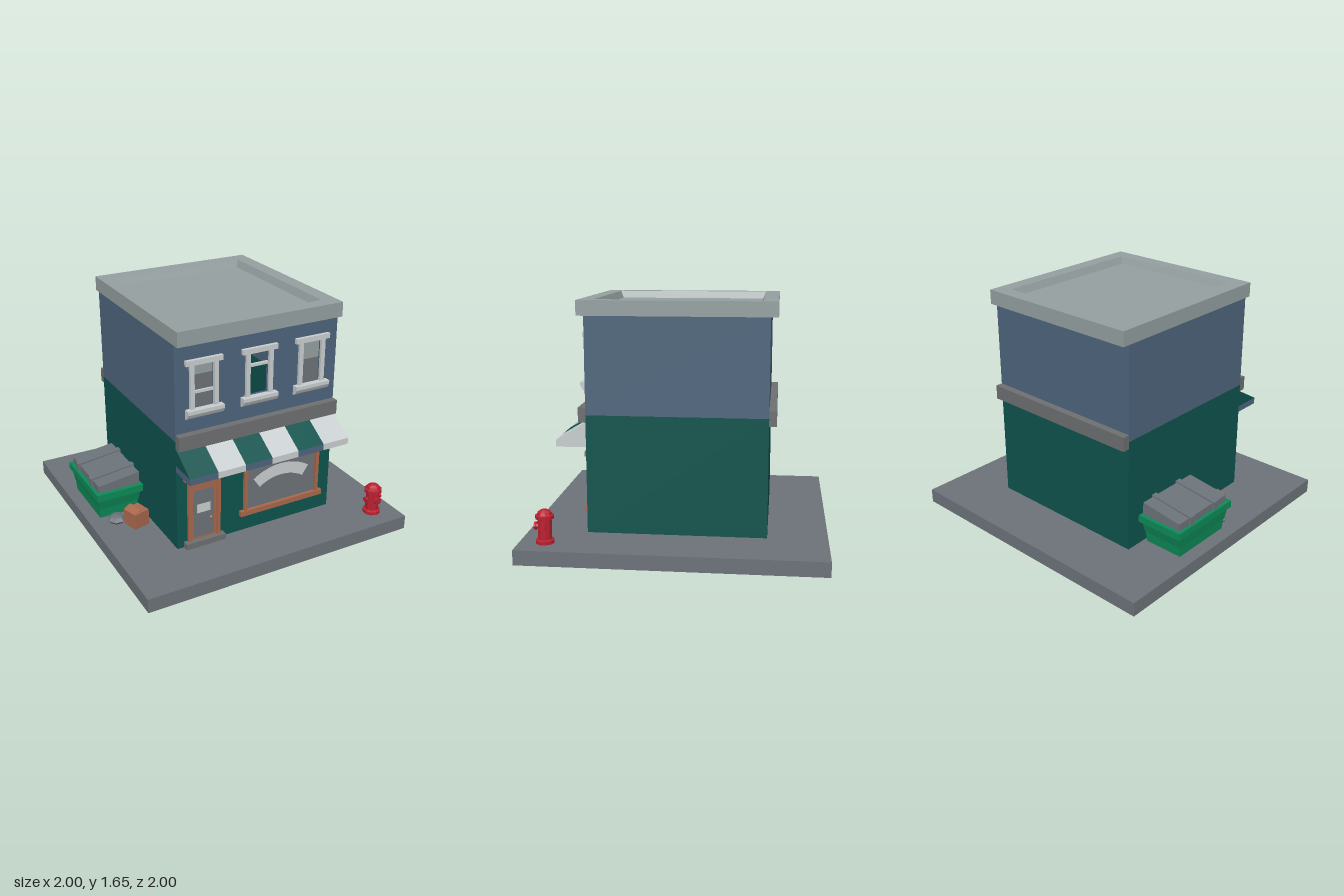
import * as THREE from 'three';

const mat = (name, color, side = THREE.FrontSide) => {
  const m = new THREE.MeshStandardMaterial({ color, flatShading: true, side });
  m.name = name;
  return m;
};

export function createModel() {
  const M = {
    pavement: mat('pavement grey', 0x6c7379),
    stone: mat('stone grey', 0x6d6f70),
    teal: mat('dark teal', 0x0e534d),
    blue: mat('slate blue', 0x4e657c),
    roof: mat('roof grey', 0x95a0a0, THREE.DoubleSide),
    white: mat('off white', 0xc9ced0),
    brown: mat('wood brown', 0xa9684c),
    bin: mat('bin green', 0x0d8b58),
    red: mat('hydrant red', 0xbb2030),
  };
  const model = new THREE.Group();
  model.name = 'cornerShop';

  const add = (name, geo, m, parent = model) => {
    const mesh = new THREE.Mesh(geo, m);
    mesh.name = name;
    parent.add(mesh);
    return mesh;
  };
  // Box given by its limits on each axis
  const box = (name, m, [x0, x1], [y0, y1], [z0, z1], parent = model) => {
    const mesh = add(name, new THREE.BoxGeometry(x1 - x0, y1 - y0, z1 - z0), m, parent);
    mesh.position.set((x0 + x1) / 2, (y0 + y1) / 2, (z0 + z1) / 2);
    return mesh;
  };
  const group = (name, x = 0, y = 0, z = 0) => {
    const g = new THREE.Group();
    g.name = name;
    g.position.set(x, y, z);
    model.add(g);
    return g;
  };
  const shape = pts => new THREE.Shape(pts.map(p => new THREE.Vector2(...p)));
  const extrude = (s, depth) => new THREE.ExtrudeGeometry(s, { depth, bevelEnabled: false });
  const rect = (x0, x1, y0, y1) => shape([[x0, y0], [x1, y0], [x1, y1], [x0, y1]]);
  // Profile drawn in (z, y), swept along x from x0 to x1
  const sweepX = (name, m, pts, x0, x1, parent = model) => {
    const mesh = add(name, extrude(shape(pts.map(([z, y]) => [-z, y])), x1 - x0), m, parent);
    mesh.rotation.y = Math.PI / 2;
    mesh.position.x = x0;
    return mesh;
  };

  box('pavement', M.pavement, [-1, 1], [0, 0.1], [-1, 1]);

  // Hollow walls for both storeys
  for (const [storey, m, y] of [['lower', M.teal, [0.1, 0.9]], ['upper', M.blue, [0.9, 1.55]]]) {
    box(storey + 'RightWall', m, [-0.6, -0.58], y, [-0.6, 0.6]);
    box(storey + 'LeftWall', m, [0.58, 0.6], y, [-0.6, 0.6]);
    box(storey + 'BackWall', m, [-0.58, 0.58], y, [-0.6, -0.58]);
  }
  box('lowerFrontWall', M.teal, [-0.58, 0.58], [0.1, 0.9], [0.58, 0.6]);
  const front = rect(-0.58, 0.58, 0.9, 1.55);
  for (const x of [-0.4, 0, 0.4]) front.holes.push(rect(x - 0.07, x + 0.07, 1.11, 1.405));
  add('upperFrontWall', extrude(front, 0.02), M.blue).position.z = 0.58;

  // Stone bands on front and back
  box('frontBand', M.stone, [-0.6, 0.6], [0.85, 0.95], [0.6, 0.65]);
  box('backBand', M.stone, [-0.6, 0.6], [0.85, 0.95], [-0.65, -0.6]);

  // Cornice with a sunken roof
  const ring = rect(-0.6, 0.6, -0.65, 0.65);
  ring.holes.push(rect(-0.5, 0.5, -0.55, 0.55));
  const cornice = add('cornice', extrude(ring, 0.1), M.roof);
  cornice.rotation.x = -Math.PI / 2;
  cornice.position.y = 1.55;
  const slope = new THREE.CylinderGeometry(0.5 * Math.SQRT2, 0.48 * Math.SQRT2, 0.05, 4, 1, true);
  slope.rotateY(Math.PI / 4).scale(1, 1, 1.1);
  add('roofEdge', slope, M.roof).position.y = 1.625;
  box('roofFloor', M.roof, [-0.5, 0.5], [1.56, 1.6], [-0.55, 0.55]);

  // Upper windows: blind bottom and bar height differ; the middle one is open
  [[-0.4, 1.33, 1.217], [0, null, 1.315], [0.4, 1.275, null]].forEach(([x, blind, bar]) => {
    const w = group('upperWindow', x);
    box('lintel', M.white, [-0.13, 0.13], [1.405, 1.44], [0.6, 0.625], w);
    for (const s of [-1, 1]) {
      box('jamb', M.white, [s * 0.085 - 0.015, s * 0.085 + 0.015], [1.11, 1.405], [0.6, 0.62], w);
    }
    sweepX('sill', M.white, [[0.6, 1.045], [0.6, 1.11], [0.645, 1.11], [0.645, 1.085],
      [0.632, 1.06], [0.612, 1.045]], -0.13, 0.13, w);
    if (blind) {
      box('glass', M.pavement, [-0.07, 0.07], [1.11, blind], [0.582, 0.59], w);
      box('blind', M.roof, [-0.07, 0.07], [blind, 1.405], [0.582, 0.59], w);
    }
    if (bar) box('bar', M.white, [-0.07, 0.07], [bar - 0.009, bar + 0.009], [0.585, 0.605], w);
  });

  // Striped awning
  for (let i = 0; i < 6; i++) {
    const x = -0.6 + i * 0.2, odd = i % 2;
    sweepX('awningStripe', odd ? M.white : M.teal,
      [[0.6, 0.73], [0.6, 0.85], [0.8, 0.73]], x, x + 0.2);
    box('awningValance', odd ? M.white : M.blue, [x, x + 0.2], [0.685, 0.73], [0.6, 0.8]);
  }

  // Door
  const door = group('door', -0.405);
  box('step', M.stone, [-0.147, 0.147], [0.1, 0.143], [0.6, 0.645], door);
  box('lintel', M.brown, [-0.147, 0.147], [0.605, 0.637], [0.6, 0.628], door);
  for (const s of [-1, 1]) {
    box('jamb', M.brown, [s * 0.108 - 0.012, s * 0.108 + 0.012], [0.143, 0.605], [0.6, 0.622], door);
  }
  box('transom', M.brown, [-0.096, 0.096], [0.53, 0.605], [0.6, 0.614], door);
  box('leaf', M.brown, [-0.096, 0.096], [0.143, 0.53], [0.6, 0.606], door);
  box('glass', M.pavement, [-0.075, 0.075], [0.158, 0.512], [0.606, 0.608], door);
  box('notice', M.white, [-0.05, 0.05], [0.34, 0.405], [0.608, 0.61], door);
  const knob = add('knob', new THREE.SphereGeometry(0.013, 10, 8), M.brown, door);
  knob.position.set(0.05, 0.288, 0.617);

  // Shop window with a blank arched banner
  const shop = group('shopWindow', 0.199);
  box('lintel', M.brown, [-0.329, 0.329], [0.605, 0.637], [0.6, 0.628], shop);
  box('sill', M.brown, [-0.329, 0.329], [0.222, 0.26], [0.6, 0.628], shop);
  for (const s of [-1, 1]) {
    box('jamb', M.brown, [s * 0.287 - 0.013, s * 0.287 + 0.013], [0.26, 0.605], [0.6, 0.622], shop);
  }
  box('glass', M.pavement, [-0.274, 0.274], [0.26, 0.605], [0.6, 0.603], shop);
  const arch = new THREE.Shape();
  arch.absarc(0, 0.155, 0.39, Math.PI / 2 - 0.6, Math.PI / 2 + 0.6, false);
  arch.absarc(0, 0.155, 0.305, Math.PI / 2 + 0.6, Math.PI / 2 - 0.6, true);
  add('banner', extrude(arch, 0.003), M.white, shop).position.z = 0.603;

  // Rubbish bin: tapered tiers, rim, sloping lid and straps
  const bin = group('rubbishBin', -0.773, 0, -0.22);
  const tier = (name, y0, y1, bottom, top) => {
    const g = new THREE.CylinderGeometry(top, bottom, y1 - y0, 4, 1).rotateY(Math.PI / 4);
    g.scale(0.172 * Math.SQRT2, 1, 0.28 * Math.SQRT2);
    add(name, g, M.bin, bin).position.y = (y0 + y1) / 2;
  };
  tier('binLower', 0.11, 0.195, 0.82, 0.85);
  tier('binUpper', 0.185, 0.27, 0.86, 0.93);
  tier('binRim', 0.27, 0.32, 1, 1);
  const lidShape = (x0, x1, lift) => shape([[x0, 0.32], [x1, 0.32], [x1, 0.41 + lift], [x0, 0.37 + lift]]);
  add('lid', extrude(lidShape(-0.147, 0.158, 0), 0.5), M.pavement, bin).position.z = -0.252;
  for (const z of [-0.13, 0.12]) {
    add('lidStrap', extrude(lidShape(-0.162, 0.168, 0.01), 0.045), M.pavement, bin).position.z = z - 0.0225;
  }

  // Rubbish bag
  const bag = group('rubbishBag', -0.82, 0.1, 0.085);
  const sack = add('sack', new THREE.LatheGeometry([[0, 0], [0.05, 0], [0.066, 0.02], [0.045, 0.045], [0, 0.055]]
    .map(p => new THREE.Vector2(...p)), 7), M.pavement, bag);
  sack.rotation.y = 0.4;

  // Cardboard box with one lifted flap
  const carton = group('carton', -0.71, 0.1, 0.18);
  carton.rotation.y = 0.26;
  box('cartonBody', M.brown, [-0.061, 0.061], [0, 0.112], [-0.061, 0.061], carton);
  box('closedFlap', M.brown, [0, 0.061], [0.112, 0.116], [-0.061, 0.061], carton);
  const flap = new THREE.Group();
  flap.name = 'liftedFlap';
  flap.position.set(-0.061, 0.112, 0);
  flap.rotation.z = 0.38;
  carton.add(flap);
  box('flapPanel', M.brown, [0, 0.061], [0, 0.004], [-0.061, 0.061], flap);

  // Fire hydrant
  const hydrant = group('hydrant', 0.83, 0.1, 0.83);
  const profile = [[0, 0], [0.062, 0], [0.062, 0.022], [0.047, 0.028], [0.047, 0.16], [0.062, 0.165],
    [0.062, 0.187], [0.05, 0.19], [0.043, 0.208], [0.024, 0.221], [0, 0.225]];
  add('hydrantBody', new THREE.LatheGeometry(profile.map(p => new THREE.Vector2(...p)), 10), M.red, hydrant);
  [[-Math.PI / 2, 0.018], [Math.PI / 2, 0.018], [0, 0.027]].forEach(([turn, r]) => {
    const nozzle = new THREE.Group();
    nozzle.name = 'nozzle';
    nozzle.position.y = 0.113;
    nozzle.rotation.y = turn;
    hydrant.add(nozzle);
    const pipe = add('pipe', new THREE.CylinderGeometry(r * 0.75, r * 0.75, 0.06, 8).rotateX(Math.PI / 2), M.red, nozzle);
    pipe.position.z = 0.033;
    const cap = add('cap', new THREE.CylinderGeometry(r, r, 0.013, 8).rotateX(Math.PI / 2), M.red, nozzle);
    cap.position.z = 0.061;
  });

  return model;
}
